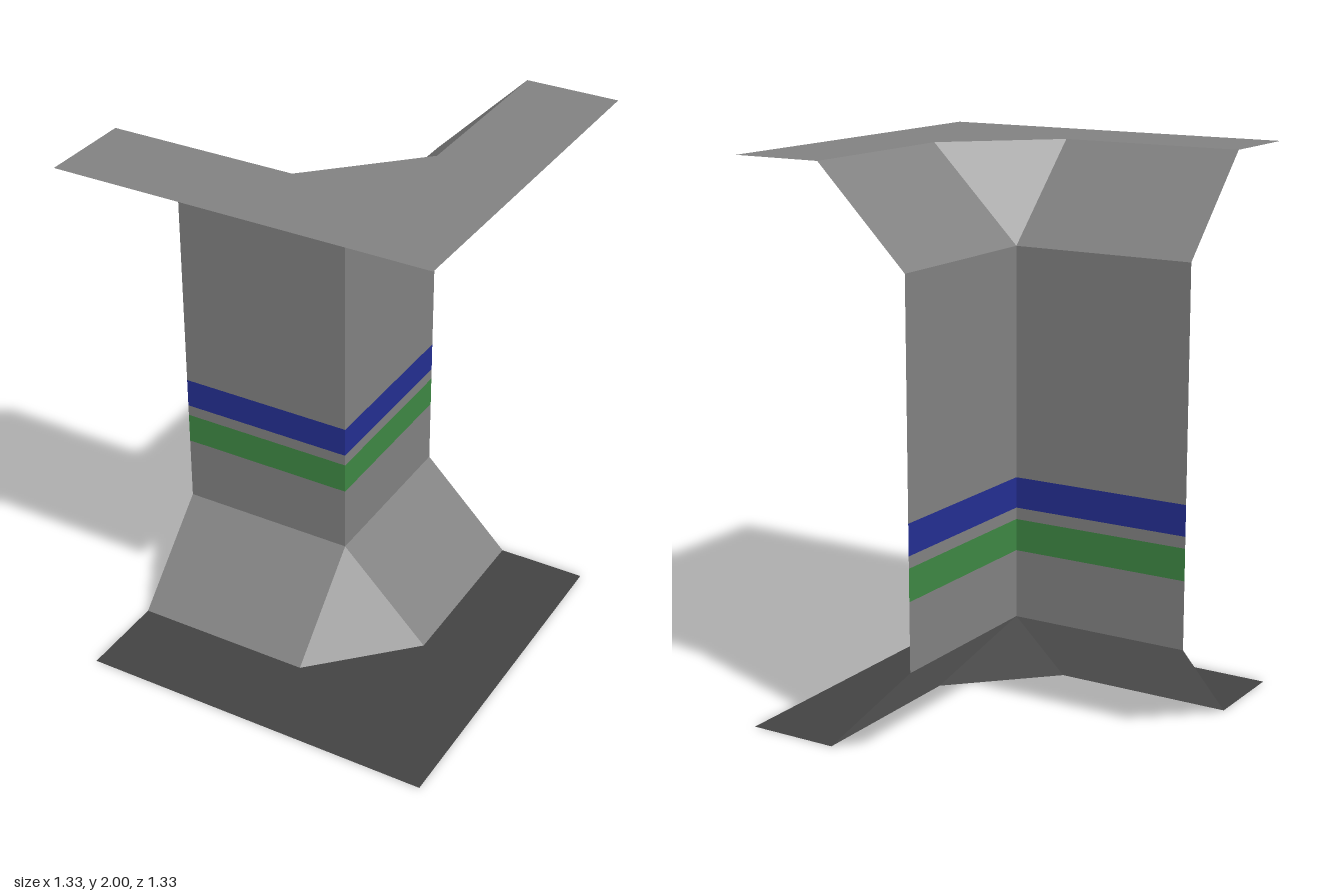
import * as THREE from 'three';

const END = 2 / 3;    // half length of the footprint
const BEVEL = 1 / 3;  // size of the sloped skirting and cornice
const TOP = 2;

const paint = (name, color) => {
  const m = new THREE.MeshStandardMaterial({ color, side: THREE.DoubleSide, flatShading: true });
  m.name = name;
  return m;
};

// Flat convex face from its corners, anticlockwise as seen from the front
function face(...corners) {
  const g = new THREE.BufferGeometry();
  g.setAttribute('position', new THREE.Float32BufferAttribute(corners.flat(), 3));
  const index = [];
  for (let i = 1; i < corners.length - 1; i++) index.push(0, i, i + 1);
  g.setIndex(index);
  g.computeVertexNormals();
  return g;
}

export function createModel() {
  const grey = paint('wall grey', 0x828282);
  const dark = paint('floor grey', 0x434343);
  const blue = paint('stripe blue', 0x242f92);
  const green = paint('stripe green', 0x3e8844);

  const model = new THREE.Group();
  model.name = 'cornerWall';
  const add = (name, geometry, material) => {
    const mesh = new THREE.Mesh(geometry, material);
    mesh.name = name;
    model.add(mesh);
  };

  // Bands up the wall: name, bottom height and offset, top height and offset
  const bands = [
    ['lowerSlope', 0, BEVEL, BEVEL, 0, grey],
    ['lowerWall', BEVEL, 0, 0.58, 0, grey],
    ['greenStripe', 0.58, 0, 0.695, 0, green],
    ['middleWall', 0.695, 0, 0.737, 0, grey],
    ['blueStripe', 0.737, 0, 0.848, 0, blue],
    ['upperWall', 0.848, 0, TOP - BEVEL, 0, grey],
    ['upperSlope', TOP - BEVEL, 0, TOP, BEVEL, grey],
  ];
  for (const [name, y0, d0, y1, d1, material] of bands) {
    // Leg facing the front
    add(name + 'Front', face([-END, y0, d0], [0, y0, d0], [0, y1, d1], [-END, y1, d1]), material);
    // Leg facing the left side
    add(name + 'Side', face([d0, y0, 0], [d0, y0, -END], [d1, y1, -END], [d1, y1, 0]), material);
  }

  // Triangles that close the slopes around the corner
  add('lowerCorner', face([0, BEVEL, 0], [0, 0, BEVEL], [BEVEL, 0, 0]), grey);
  add('upperCorner', face([0, TOP - BEVEL, 0], [BEVEL, TOP, 0], [0, TOP, BEVEL]), grey);

  // L-shaped floor and ceiling
  const outline = [[-END, BEVEL], [0, BEVEL], [BEVEL, 0], [BEVEL, -END], [END, -END], [END, END], [-END, END]];
  const slab = (side) => new THREE.ShapeGeometry(
    new THREE.Shape(outline.map(([x, z]) => new THREE.Vector2(x, z * side)))
  ).rotateX(side * Math.PI / 2);
  add('floor', slab(-1), dark);
  add('ceiling', slab(1).translate(0, TOP, 0), grey);

  return model;
}
